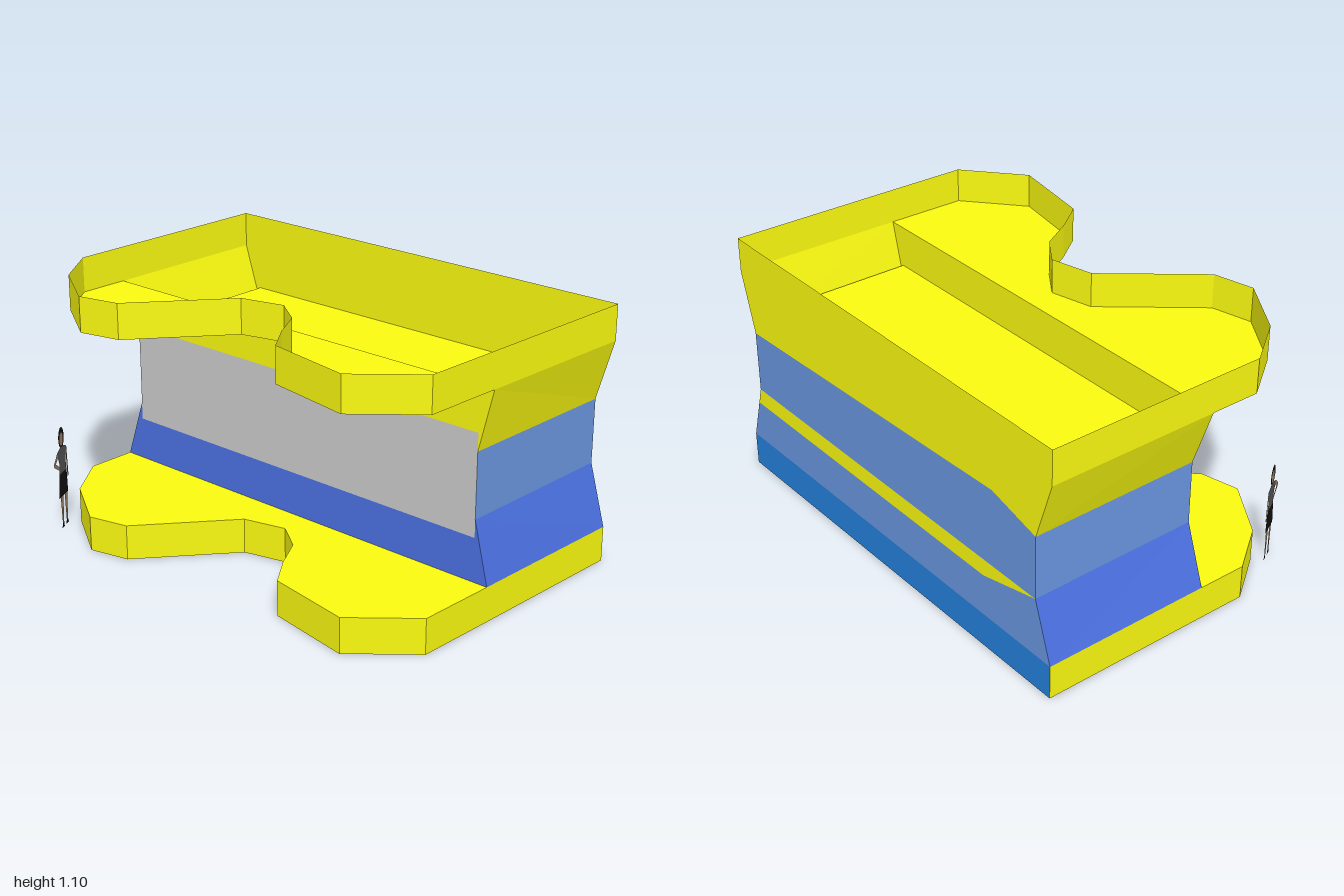
import * as THREE from 'three';

const YELLOW = 0xfafa10, BLUE = 0x4c71e2, PALE = 0x6a96e0, BASE = 0x2480dc, GREY = 0xcccccc;
const BACK = -0.66, FRONT = 0.085;

// Plan of the storeys: [x, z]. The straight rear run comes first.
const REAR = [[0.97, FRONT], [1, BACK], [-0.98, BACK], [-0.995, FRONT]];
const TERRACE = [[-0.995, FRONT], [-1, 0.3], [-0.86, 0.5], [-0.615, 0.66], [-0.44, 0.62],
  [-0.13, 0.255], [0.055, 0.21], [0.18, 0.3], [0.255, 0.44], [0.345, 0.57],
  [0.715, 0.635], [0.955, 0.43], [0.97, FRONT]];

function add(group, name, color, geometry) {
  const material = new THREE.MeshStandardMaterial({ color, side: THREE.DoubleSide, flatShading: true });
  const mesh = new THREE.Mesh(geometry, material);
  mesh.name = name;
  group.add(mesh);
  return mesh;
}

// Flat outline in the x-y plane
function flat(points) {
  return new THREE.ShapeGeometry(new THREE.Shape(points.map(p => new THREE.Vector2(...p))));
}

// Horizontal outline given as [x, z], facing up
function level(points, y) {
  return flat(points.map(([x, z]) => [x, -z])).rotateX(-Math.PI / 2).translate(0, y, 0);
}

// Strip of quads between two rows of 3D points
function strip(a, b) {
  const v = [];
  for (let i = 0; i < a.length - 1; i++) {
    v.push(...a[i], ...a[i + 1], ...b[i + 1], ...a[i], ...b[i + 1], ...b[i]);
  }
  const g = new THREE.BufferGeometry();
  g.setAttribute('position', new THREE.Float32BufferAttribute(v, 3));
  g.computeVertexNormals();
  return g;
}

const upright = (plan, y0, y1) =>
  strip(plan.map(([x, z]) => [x, y0, z]), plan.map(([x, z]) => [x, y1, z]));

// Parapet or skirt around a storey, with its terrace deck
function storey(name, y0, deckY, backColor) {
  const g = new THREE.Group();
  g.name = name;
  add(g, 'terraceEdge', YELLOW, upright(TERRACE, y0, y0 + 0.15));
  add(g, 'rightSideEdge', YELLOW, upright(REAR.slice(0, 2), y0, y0 + 0.15));
  add(g, 'backEdge', backColor, upright(REAR.slice(1, 3), y0, y0 + 0.15));
  add(g, 'leftSideEdge', YELLOW, upright(REAR.slice(2), y0, y0 + 0.15));
  add(g, 'terraceDeck', YELLOW, level(TERRACE, deckY));
  return g;
}

// Waisted body between the storeys
function body() {
  const g = new THREE.Group();
  g.name = 'body';

  // End walls: [y, back x, front x]
  const ends = {
    leftEnd: [[0.15, 1, 0.97], [0.41, 0.925, 0.905], [0.685, 0.925, 0.905], [0.945, 1, 0.97]],
    rightEnd: [[0.15, -0.98, -0.995], [0.41, -0.895, -0.905], [0.685, -0.895, -0.905], [0.945, -0.98, -0.995]],
  };
  for (const [name, rows] of Object.entries(ends)) {
    [BLUE, PALE, YELLOW].forEach((color, i) => {
      const [lo, hi] = [rows[i], rows[i + 1]].map(([y, xb, xf]) => [[xb, y, BACK], [xf, y, FRONT]]);
      add(g, name + 'Wall', color, strip(lo, hi));
    });
  }

  // Front wall: bands above and below the window panel
  const front = {
    upperFront: [YELLOW, [[-0.995, 0.945], [-0.905, 0.685], [-0.905, 0.76], [0.905, 0.76], [0.905, 0.685], [0.97, 0.945]]],
    windowPanel: [GREY, [[-0.905, 0.335], [0.905, 0.335], [0.905, 0.76], [-0.905, 0.76]]],
    lowerFront: [BLUE, [[-0.995, 0.15], [0.97, 0.15], [0.905, 0.41], [0.905, 0.335], [-0.905, 0.335], [-0.905, 0.41]]],
  };
  // Back wall: painted bands with a slanting tip at the right end
  const back = {
    upperBack: [YELLOW, [[-0.98, 0.945], [1, 0.945], [0.925, 0.685], [-0.65, 0.75], [-0.895, 0.685]]],
    middleBack: [PALE, [[0.925, 0.685], [-0.65, 0.75], [-0.895, 0.685], [-0.895, 0.41], [0.925, 0.41]]],
    backStripe: [YELLOW, [[0.925, 0.41], [-0.895, 0.41], [-0.595, 0.335], [0.946, 0.335]]],
    lowerBack: [PALE, [[-0.895, 0.41], [-0.595, 0.335], [0.946, 0.335], [1, 0.15], [-0.98, 0.15]]],
  };
  for (const [wall, z] of [[front, FRONT], [back, BACK]]) {
    for (const [name, [color, pts]] of Object.entries(wall)) {
      add(g, name, color, flat(pts).translate(0, 0, z));
    }
  }

  // Sunken floor of the upper tray and ceiling of the lower hollow
  const inner = [[-0.905, FRONT], [0.905, FRONT], [0.925, BACK], [-0.895, BACK]];
  add(g, 'sunkenFloor', YELLOW, level(inner, 0.76));
  add(g, 'undersideCeiling', GREY, level(inner, 0.335));
  return g;
}

// Flat cut-out of a standing woman, for scale
function scaleFigure() {
  const g = new THREE.Group();
  g.name = 'scaleFigure';
  const SKIN = 0x9c8060, DARK = 0x111111;
  const hair = new THREE.Shape().absellipse(0, 0.4, 0.029, 0.046, 0, Math.PI * 2);
  hair.holes.push(new THREE.Path().absellipse(0, 0.393, 0.018, 0.029, 0, Math.PI * 2));
  add(g, 'hair', DARK, new THREE.ShapeGeometry(hair));
  add(g, 'face', SKIN, new THREE.ShapeGeometry(
    new THREE.Shape().absellipse(0, 0.393, 0.018, 0.029, 0, Math.PI * 2)));
  add(g, 'shirt', 0x555555, flat([[-0.04, 0.245], [0.036, 0.245], [0.03, 0.29], [0.05, 0.345],
    [0.015, 0.36], [-0.015, 0.36], [-0.05, 0.345], [-0.034, 0.29]]));
  add(g, 'skirt', DARK, flat([[-0.045, 0.14], [0.05, 0.14], [0.036, 0.245], [-0.04, 0.245]]));
  add(g, 'bentArm', SKIN, flat([[0.05, 0.345], [0.09, 0.307], [0.08, 0.293], [0.036, 0.265],
    [0.033, 0.28], [0.067, 0.305], [0.042, 0.325]]));
  add(g, 'straightArm', SKIN, flat([[-0.05, 0.345], [-0.04, 0.318], [-0.044, 0.27],
    [-0.046, 0.2], [-0.058, 0.21], [-0.054, 0.28]]));
  for (const s of [-1, 1]) {
    add(g, 'leg', SKIN, flat([[s * 0.008, 0.14], [s * 0.035, 0.14], [s * 0.028, 0.02], [s * 0.014, 0.02]]));
    add(g, 'shoe', DARK, flat([[s * 0.01, 0], [s * 0.035, 0], [s * 0.028, 0.02], [s * 0.014, 0.02]]));
  }
  g.position.set(-0.88, 0, 0.57);
  g.rotation.y = -1.1;
  return g;
}

export function createModel() {
  const model = new THREE.Group();
  model.name = 'pavilion';
  model.add(
    storey('groundStorey', 0, 0.15, BASE),
    body(),
    storey('roofStorey', 0.945, 0.945, YELLOW),
    scaleFigure(),
  );
  return model;
}
